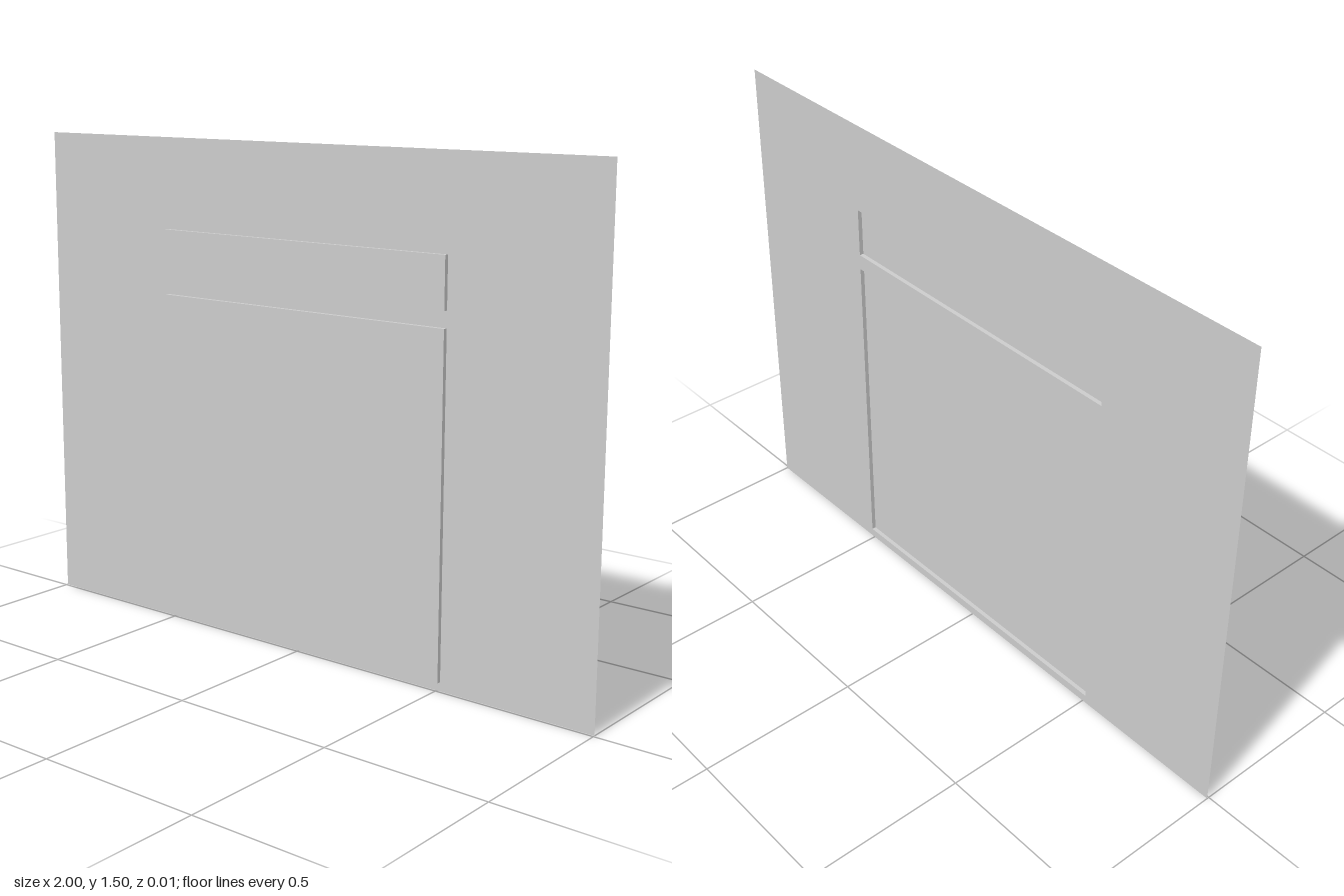
import * as THREE from 'three';

const WIDTH = 2, HEIGHT = 1.5, DEPTH = 0.013;
const BACK = -DEPTH / 2, FRONT = DEPTH / 2;

// Raised panels, pressed forward out of the sheet
const PANELS = [
  { name: 'lowerPanel', w: 1.022, y0: 0.027, y1: 1.027 },
  { name: 'upperPanel', w: 1.022, y0: 1.075, y1: 1.225 },
];

const material = new THREE.MeshStandardMaterial({
  color: 0xcccccc, flatShading: true, side: THREE.DoubleSide,
});

function rectangle(PathType, w, y0, y1) {
  return new PathType([
    new THREE.Vector2(-w / 2, y0), new THREE.Vector2(w / 2, y0),
    new THREE.Vector2(w / 2, y1), new THREE.Vector2(-w / 2, y1),
  ]);
}

function plane(name, w, h, x, y, z, rx = 0, ry = 0) {
  const mesh = new THREE.Mesh(new THREE.PlaneGeometry(w, h), material);
  mesh.name = name;
  mesh.position.set(x, y, z);
  mesh.rotation.set(rx, ry, 0);
  return mesh;
}

// Front face plus four thin side walls, open at the back
function raisedPanel({ name, w, y0, y1 }) {
  const group = new THREE.Group();
  group.name = name;
  const h = y1 - y0, yc = (y0 + y1) / 2;
  group.add(plane('panelFace', w, h, 0, yc, FRONT));
  for (const s of [-1, 1]) {
    group.add(plane(s > 0 ? 'leftEdge' : 'rightEdge', DEPTH, h, s * w / 2, yc, 0, 0, s * Math.PI / 2));
    group.add(plane(s > 0 ? 'topEdge' : 'bottomEdge', w, DEPTH, 0, yc + s * h / 2, 0, -s * Math.PI / 2));
  }
  return group;
}

export function createModel() {
  const model = new THREE.Group();
  model.name = 'panelledWall';

  // Flat wall sheet with an opening behind each panel
  const outline = rectangle(THREE.Shape, WIDTH, 0, HEIGHT);
  for (const p of PANELS) outline.holes.push(rectangle(THREE.Path, p.w, p.y0, p.y1));
  const wall = new THREE.Mesh(new THREE.ShapeGeometry(outline), material);
  wall.name = 'wallSheet';
  wall.position.z = BACK;
  model.add(wall);

  for (const p of PANELS) model.add(raisedPanel(p));
  return model;
}
